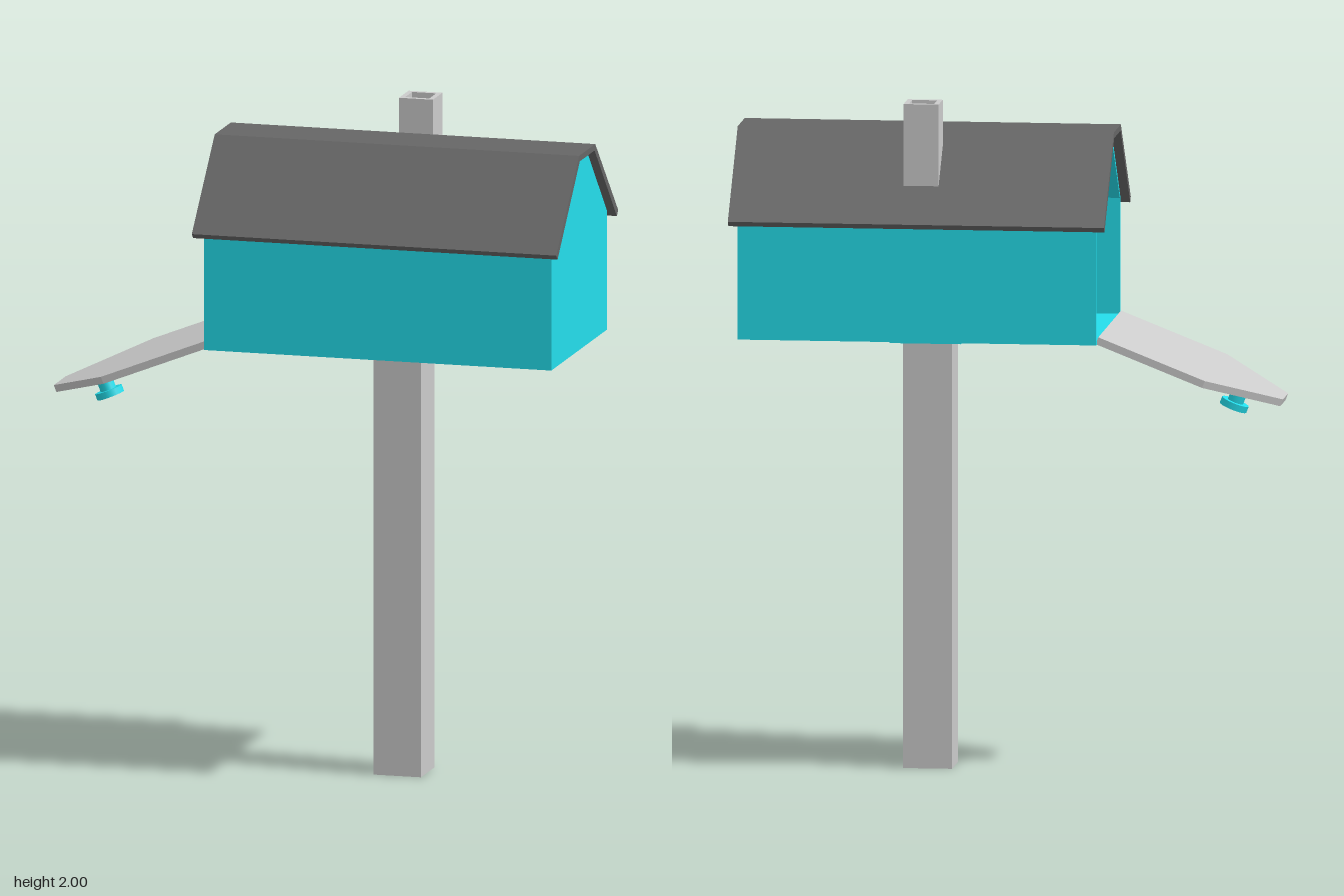
import * as THREE from 'three';

const grey = new THREE.MeshStandardMaterial({ color: 0xcccccc });
const dark = new THREE.MeshStandardMaterial({ color: 0x666666 });
const cyan = new THREE.MeshStandardMaterial({ color: 0x24deec });

const toShape = (pts) => new THREE.Shape(pts.map(([x, y]) => new THREE.Vector2(x, y)));
const extrude = (shape, depth) => new THREE.ExtrudeGeometry(shape, { depth, bevelEnabled: false });

// Closed symmetric outline from its right half
const mirrored = (half) => [...half, ...half.slice().reverse().map(([x, y]) => [-x, y])];

// Profile in the z-y plane, swept along x from x0 to x1
const sweepX = (shape, x0, x1) => extrude(shape, x1 - x0).rotateY(Math.PI / 2).translate(x0, 0, 0);

export function createModel() {
  const model = new THREE.Group();
  const add = (name, geometry, material, parent = model) => {
    const mesh = new THREE.Mesh(geometry, material);
    mesh.name = name;
    parent.add(mesh);
    return mesh;
  };
  const box = (name, w, h, d, x, y, z, material) =>
    add(name, new THREE.BoxGeometry(w, h, d).translate(x, y, z), material);

  // Post and mounting plate
  box('post', 0.146, 1.27, 0.146, 0.243, 0.635, 0, grey);
  box('mountingPlate', 0.212, 0.03, 0.22, 0.245, 1.285, 0, cyan);

  // Hollow box body, open at the door end, closed at the other
  const outer = mirrored([[0.3, 1.3], [0.3, 1.662], [0.08, 1.887]]);
  const inner = mirrored([[0.288, 1.312], [0.288, 1.657], [0.075, 1.875]]);
  const shell = toShape(outer);
  shell.holes.push(toShape(inner));
  add('body', sweepX(shell, -0.285, 0.768), cyan);
  add('endWall', sweepX(toShape(outer), 0.768, 0.78), cyan);

  // Roof sheet folded over the body
  const roof = [
    [0.32, 1.64], [0.335, 1.655], [0.087, 1.905], [-0.087, 1.905], [-0.335, 1.655],
    [-0.32, 1.64], [-0.08, 1.887], [0.08, 1.887],
  ];
  add('roof', sweepX(toShape(roof), -0.312, 0.805), dark);

  // Hollow chimney, its foot cut to the roof slope
  const square = (r) => [[-r, -r], [r, -r], [r, r], [-r, r]];
  const flue = toShape(square(0.052));
  flue.holes.push(toShape(square(0.037)));
  const chimney = extrude(flue, 1).rotateX(-Math.PI / 2).translate(0.243, 0, -0.182);
  const p = chimney.attributes.position;
  for (let i = 0; i < p.count; i++) {
    p.setY(i, p.getY(i) > 0.5 ? 2 : 1.983 + p.getZ(i));
  }
  chimney.computeVertexNormals();
  add('chimney', chimney, grey);
  box('chimneyFloor', 0.076, 0.01, 0.076, 0.243, 1.935, -0.182, grey);

  // Door hinged open at the floor, tapering to its tip
  const door = new THREE.Group();
  door.name = 'door';
  door.position.set(-0.285, 1.312, 0);
  door.rotation.z = THREE.MathUtils.degToRad(21.6);
  model.add(door);
  const panel = [[0, -0.284], [0, 0.284], [-0.34, 0.284], [-0.562, 0.065], [-0.562, -0.065], [-0.34, -0.284]];
  add('doorPanel', extrude(toShape(panel), 0.022).rotateX(-Math.PI / 2).translate(0, -0.011, 0), grey, door);

  // Knob on the outer face of the door
  add('knobStem', new THREE.CylinderGeometry(0.024, 0.024, 0.05, 16).translate(-0.43, -0.035, 0), cyan, door);
  add('knobCap', new THREE.CylinderGeometry(0.042, 0.042, 0.02, 16).translate(-0.43, -0.07, 0), cyan, door);

  return model;
}
